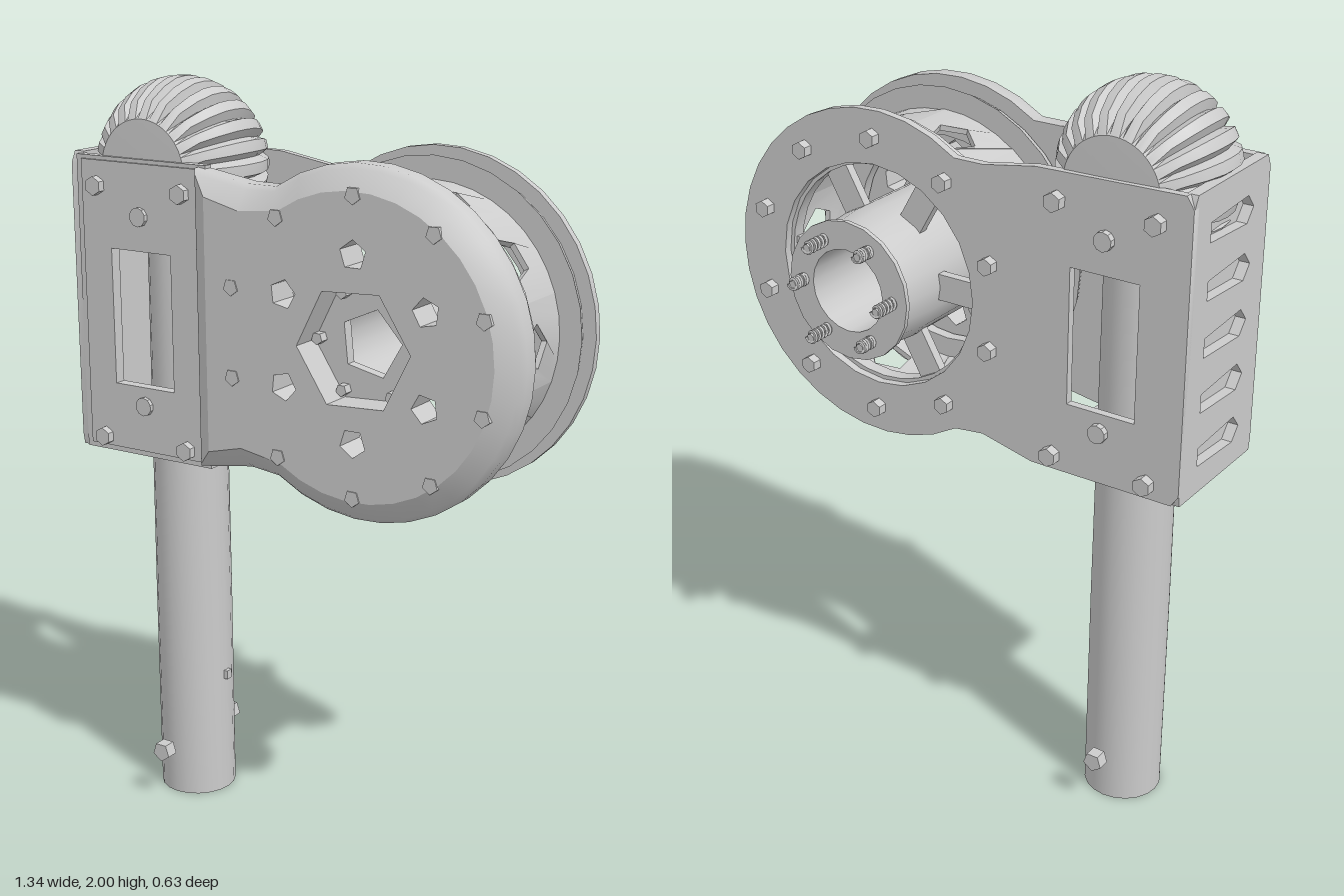
import * as THREE from 'three';
import { toCreasedNormals } from 'three/addons/utils/BufferGeometryUtils.js';

const CX = 0.23, CY = 1.41;   // reel axis
const PX = -0.445, PZ = 0.06; // post axis
const mat = new THREE.MeshStandardMaterial({ color: 0xcccccc, side: THREE.DoubleSide });
const V = (x, y) => new THREE.Vector2(x, y);
const TAU = Math.PI * 2;

function add(parent, name, geo, x = 0, y = 0, z = 0, crease = 0.6) {
  const mesh = new THREE.Mesh(toCreasedNormals(geo, crease), mat);
  mesh.name = name;
  mesh.position.set(x, y, z);
  parent.add(mesh);
  return mesh;
}

// regular polygon points
function poly(x, y, r, n, turn = 0) {
  return Array.from({ length: n }, (_, i) => {
    const a = turn + (i / n) * TAU;
    return V(x + r * Math.cos(a), y + r * Math.sin(a));
  });
}

const rect = (x0, y0, x1, y1) => [V(x0, y0), V(x1, y0), V(x1, y1), V(x0, y1)];

function slab(points, holes, depth) {
  const shape = new THREE.Shape(points);
  shape.holes = holes.map(h => new THREE.Path(h));
  return new THREE.ExtrudeGeometry(shape, { depth, bevelEnabled: false });
}

// lathe about the z axis, profile as [radius, z]
const latheZ = (profile, n) =>
  new THREE.LatheGeometry(profile.map(p => V(p[0], p[1])), n).rotateX(Math.PI / 2);

// arc of the reel outline, clockwise
function reelArc(r) {
  return Array.from({ length: 25 }, (_, i) => {
    const a = THREE.MathUtils.degToRad(124 - (i / 24) * 248);
    return V(CX + r * Math.cos(a), CY + r * Math.sin(a));
  });
}

function coverOutline(inset) {
  return [V(-0.26 + inset, 1.8 - inset), V(-0.1, 1.775 - inset), ...reelArc(0.44 - inset),
    V(-0.1, 1.055 + inset), V(-0.26 + inset, 1.03 + inset)];
}

// surface through closed loops [points, z]
function loft(loops) {
  const n = loops[0][0].length, pos = [], idx = [];
  for (const [pts, z] of loops) for (const p of pts) pos.push(p.x, p.y, z);
  for (let k = 0; k < loops.length - 1; k++) {
    for (let i = 0; i < n; i++) {
      const a = k * n + i, b = k * n + (i + 1) % n;
      idx.push(a, a + n, b, b, a + n, b + n);
    }
  }
  const g = new THREE.BufferGeometry();
  g.setAttribute('position', new THREE.Float32BufferAttribute(pos, 3));
  g.setIndex(idx);
  return g.toNonIndexed();
}

function bolt(parent, name, x, y, z, r, len, sides = 6) {
  add(parent, name, new THREE.CylinderGeometry(r, r, len, sides).rotateX(Math.PI / 2), x, y, z);
}

export function createModel() {
  const model = new THREE.Group();
  const group = name => {
    const g = new THREE.Group();
    g.name = name;
    model.add(g);
    return g;
  };

  // hollow post with its cross bolts
  const post = group('post');
  add(post, 'postTube', new THREE.LatheGeometry(
    [V(0.09, 0.15), V(0.098, 0), V(0.105, 0), V(0.105, 0.6), V(0.1, 1.62)], 20), PX, 0, PZ);
  add(post, 'postInner', new THREE.CylinderGeometry(0.09, 0.09, 1.47, 20, 1, true), PX, 0.885, PZ);
  bolt(post, 'postBoltFront', PX, 0.15, 0.217, 0.028, 0.035, 5);
  bolt(post, 'postBoltBack', PX, 0.15, -0.093, 0.028, 0.035, 5);
  add(post, 'postNub', new THREE.BoxGeometry(0.02, 0.025, 0.02), -0.34, 0.35, PZ);

  // ribbed knob on top
  const knobGeo = latheZ([[0, -0.178], [0.13, -0.175], [0.175, -0.14], [0.205, -0.09], [0.222, -0.04], [0.225, 0],
    [0.222, 0.04], [0.205, 0.09], [0.175, 0.14], [0.13, 0.175], [0, 0.178]], 96);
  const kp = knobGeo.attributes.position;
  for (let i = 0; i < kp.count; i++) {
    const x = kp.getX(i), y = kp.getY(i), r = Math.hypot(x, y);
    const tooth = Math.cos(Math.atan2(y, x) * 24);
    const s = r > 0.14 && tooth < -0.5 ? 1 - 0.024 / r : 1;
    kp.setXY(i, x * s, y * s);
  }
  add(model, 'knob', knobGeo, PX, 1.775, PZ, 0.5);

  // housing around the post
  const housing = group('housing');
  const window_ = rect(-0.54, 1.21, -0.35, 1.57);
  add(housing, 'frontPlate', slab(rect(-0.65, 1.02, -0.24, 1.805), [window_], 0.025), 0, 0, 0.22);
  const rim = [V(-0.63, 1.035), V(-0.255, 1.035), V(-0.255, 1.795), V(-0.63, 1.795)];
  add(housing, 'frontRaisedPanel', slab(rim, [window_], 0.008), 0, 0, 0.244);
  const slots = [];
  for (let i = 0; i < 5; i++) {
    const y = 1.12 + i * 0.145;
    slots.push([V(-0.1, y - 0.025), V(0.08, y - 0.035), V(0.11, y), V(0.08, y + 0.035), V(-0.1, y + 0.025)]);
  }
  const wall = [V(-0.18, 1.02), V(0.18, 1.02), V(0.185, 1.05), V(0.185, 1.78), V(0.17, 1.81),
    V(-0.17, 1.81), V(-0.185, 1.78), V(-0.185, 1.05)];
  add(housing, 'sideWall', slab(wall, slots, 0.03).rotateY(-Math.PI / 2), -0.64, 0, PZ - 0.003);
  add(housing, 'sideWallLining', new THREE.BoxGeometry(0.008, 0.76, 0.34), -0.638, 1.415, PZ);
  add(housing, 'floor', new THREE.BoxGeometry(0.4, 0.025, 0.35), -0.45, 1.035, PZ);
  add(housing, 'floorNub', new THREE.CylinderGeometry(0.015, 0.015, 0.03, 6), -0.6, 1.005, PZ);

  // back plate with the open reel ring
  const backOutline = [V(-0.65, 1.02), V(-0.67, 1.05), V(-0.67, 1.78), V(-0.65, 1.81), V(-0.25, 1.8),
    V(-0.1, 1.775), ...reelArc(0.44), V(-0.1, 1.055), V(-0.25, 1.02)];
  add(housing, 'backPlate', slab(backOutline, [window_, poly(CX, CY, 0.3, 24)], 0.022), 0, 0, -0.131);

  // housing bolts, front and back
  for (const [x, y] of [[-0.58, 1.73], [-0.31, 1.73], [-0.58, 1.06], [-0.31, 1.06]]) {
    bolt(housing, 'housingBoltFront', x, y, 0.257, 0.025, 0.03);
    bolt(housing, 'housingBoltBack', x, y, -0.142, 0.025, 0.03);
  }
  for (const y of [1.66, 1.16]) {
    bolt(housing, 'roundBoltFront', PX, y, 0.25, 0.025, 0.026, 10);
    bolt(housing, 'roundBoltBack', PX, y, -0.135, 0.025, 0.026, 10);
  }

  // domed front cover with hexagonal centre and small openings
  const cover = group('reelCover');
  const openings = [poly(CX, CY, 0.16, 6, 0.05)];
  for (let k = 0; k < 6; k++) {
    const a = Math.PI / 6 + k * Math.PI / 3;
    openings.push(poly(CX + 0.23 * Math.cos(a), CY + 0.23 * Math.sin(a), 0.037, 5, a));
  }
  add(cover, 'coverFace', slab(coverOutline(0.06), openings, 0.09), 0, 0, 0.22);
  add(cover, 'coverSkirt', loft([[coverOutline(0.06), 0.22], [coverOutline(0), 0.22],
    [coverOutline(0), 0.262], [coverOutline(0.012), 0.278], [coverOutline(0.06), 0.31]]), 0, 0, 0, 0.7);
  for (let k = 0; k < 10; k++) {
    const a = Math.PI / 2 + k * TAU / 10;
    const x = CX + 0.37 * Math.cos(a), y = CY + 0.37 * Math.sin(a);
    bolt(cover, 'coverBolt', x, y, 0.303, 0.022, 0.02, 5);
    bolt(housing, 'ringBolt', x, y, -0.142, 0.023, 0.03);
  }

  // spool drum: ten curved panels, each with a five-sided opening
  const spool = group('spool');
  spool.position.set(CX, CY, 0);
  const R = 0.36, half = R * Math.PI / 10;
  const edge = [-1, -0.5, 0, 0.5, 1].map(t => t * half);
  const panelPts = [...edge.map(u => V(u, -0.07)), ...edge.slice().reverse().map(u => V(u, 0.19))];
  for (let k = 0; k < 10; k++) {
    const g = slab(panelPts, [poly(0, 0.06, 0.06, 5, k % 2 ? 0.3 : -0.2)], 0.015);
    const p = g.attributes.position;
    for (let i = 0; i < p.count; i++) {
      const a = p.getX(i) / R + k * TAU / 10, r = R - 0.015 + p.getZ(i);
      p.setXYZ(i, r * Math.cos(a), r * Math.sin(a), p.getY(i));
    }
    add(spool, 'drumPanel', g);
  }

  // flanges and spokes
  add(spool, 'frontFlange', latheZ([[0.29, 0.18], [0.42, 0.18], [0.405, 0.212], [0.29, 0.212], [0.29, 0.18]], 32));
  add(spool, 'backFlange', latheZ([[0.29, -0.107], [0.405, -0.107], [0.42, -0.07], [0.29, -0.07], [0.29, -0.107]], 32));
  for (let k = 0; k < 6; k++) {
    for (const z of [-0.085, 0.195]) {
      const a = k * Math.PI / 3;
      const spoke = add(spool, 'spoke', new THREE.BoxGeometry(0.16, 0.07, 0.025),
        0.235 * Math.cos(a), 0.235 * Math.sin(a), z);
      spoke.rotation.z = a;
    }
  }

  // hub reaching out of the back
  add(spool, 'hub', latheZ([[0.11, -0.248], [0.185, -0.248], [0.185, -0.235], [0.168, -0.222], [0.178, -0.12],
    [0.178, 0.2], [0.11, 0.2], [0.11, -0.248]], 20));
  add(spool, 'hubFace', slab(poly(0, 0, 0.165, 12), [poly(0, 0, 0.088, 5, 0.1)], 0.03), 0, 0, 0.195);

  // hub bolts in front, springs behind
  for (let k = 0; k < 6; k++) {
    const a = k * Math.PI / 3, x = 0.14 * Math.cos(a), y = 0.14 * Math.sin(a);
    bolt(spool, 'hubBolt', x, y, 0.235, 0.016, 0.03, 5);
    const len = k === 1 || k === 3 || k === 5 ? 0.072 : 0.05;
    const pts = Array.from({ length: 41 }, (_, i) => {
      const t = (i / 40) * TAU * 5;
      return new THREE.Vector3(0.013 * Math.cos(t), 0.013 * Math.sin(t), -(i / 40) * len);
    });
    add(spool, 'spring', new THREE.TubeGeometry(new THREE.CatmullRomCurve3(pts), 60, 0.005, 5), x, y, -0.245, 1.2);
    bolt(spool, 'springCore', x, y, -0.245 - len / 2, 0.011, len, 6);
  }
  return model;
}
